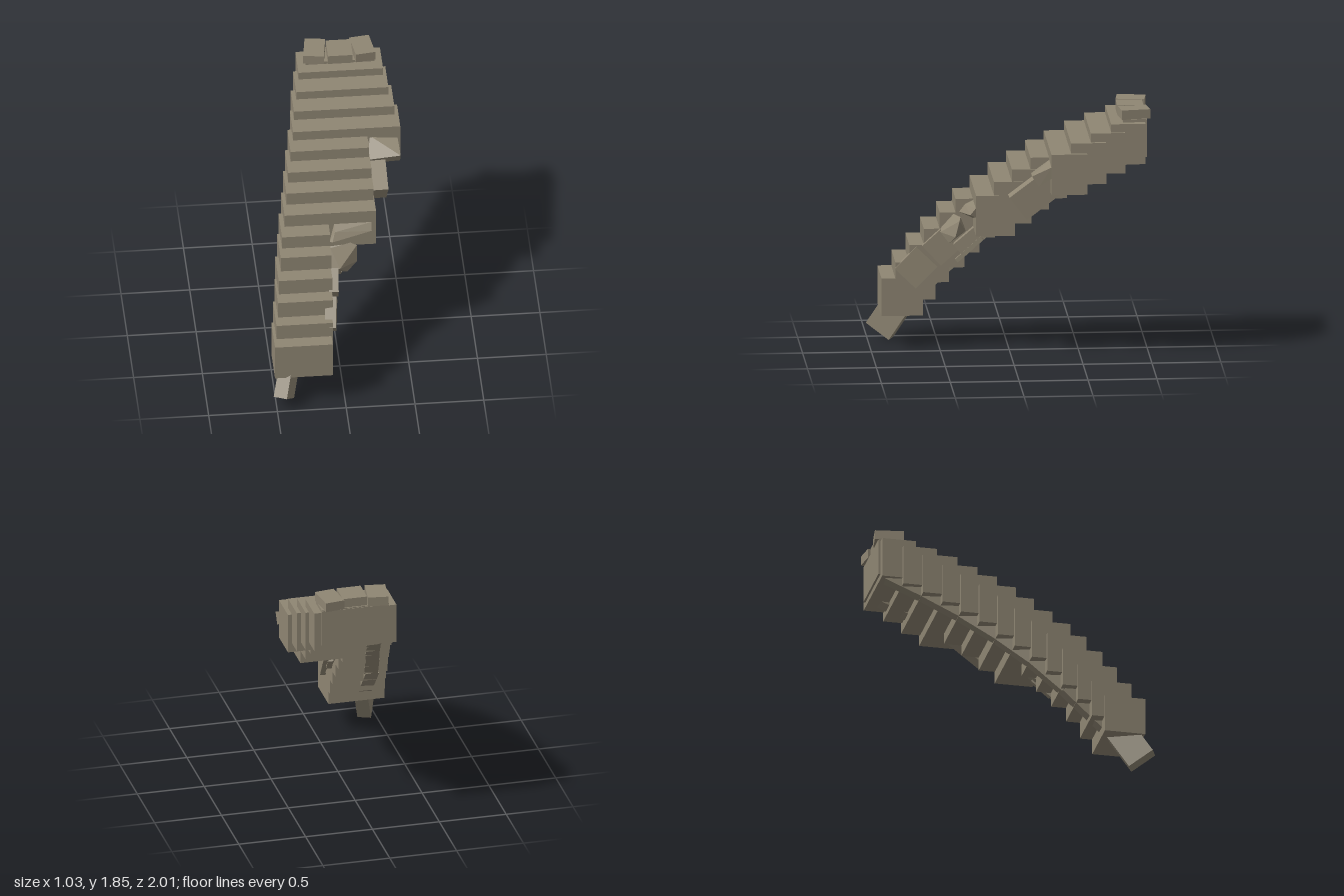
import * as THREE from 'three';
import { ConvexGeometry } from 'three/addons/geometries/ConvexGeometry.js';

export function createModel() {
  const model = new THREE.Group();
  model.name = 'brokenStaircase';
  const stone = new THREE.MeshStandardMaterial({ color: 0x8f8673, flatShading: true });
  stone.name = 'stone';

  const add = (name, geometry) => {
    const mesh = new THREE.Mesh(geometry, stone);
    mesh.name = name;
    model.add(mesh);
    return mesh;
  };
  // Box given by its limits on each axis
  const block = (name, x0, x1, y0, y1, z0, z1) =>
    add(name, new THREE.BoxGeometry(x1 - x0, y1 - y0, z1 - z0))
      .position.set((x0 + x1) / 2, (y0 + y1) / 2, (z0 + z1) / 2);
  // Sloping beam between two points
  const beam = (name, from, to, thick, deep) => {
    const a = new THREE.Vector3(...from), b = new THREE.Vector3(...to);
    const mesh = add(name, new THREE.BoxGeometry(thick, deep, a.distanceTo(b)));
    mesh.position.copy(a).add(b).multiplyScalar(0.5);
    mesh.lookAt(b);
  };
  const rubble = (name, points) =>
    add(name, new ConvexGeometry(points.map((p) => new THREE.Vector3(...p))));

  // Steps, from the foot up: left x, right x, bottom, top, back z, front z
  const steps = [
    [-0.51, -0.09, 0.24, 0.52, 0.62, 0.92],
    [-0.49, -0.08, 0.36, 0.64, 0.53, 0.82],
    [-0.47, -0.07, 0.49, 0.77, 0.43, 0.72],
    [-0.455, -0.065, 0.6, 0.89, 0.32, 0.615],
    [-0.43, -0.06, 0.71, 1.01, 0.21, 0.5],
    [-0.41, -0.06, 0.82, 1.11, 0.1, 0.385],
    [-0.38, 0.285, 0.91, 1.21, -0.02, 0.26],
    [-0.355, 0.28, 1.0, 1.31, -0.14, 0.13],
    [-0.33, 0.275, 1.1, 1.4, -0.27, 0],
    [-0.3, 0.27, 1.18, 1.485, -0.4, -0.135],
    [-0.27, 0.51, 1.26, 1.56, -0.53, -0.27],
    [-0.25, 0.48, 1.33, 1.635, -0.67, -0.415],
    [-0.22, 0.45, 1.4, 1.7, -0.81, -0.56],
    [-0.19, 0.425, 1.46, 1.76, -0.96, -0.71],
  ];
  steps.forEach((s) => block('step', ...s));

  // Left stringer with its exposed foot
  const left = [
    [-0.445, 0.055, 0.91], [-0.37, 0.35, 0.73], [-0.35, 0.66, 0.41],
    [-0.3, 0.89, 0.17], [-0.24, 1.09, -0.08], [-0.18, 1.27, -0.34],
    [-0.14, 1.42, -0.61], [-0.11, 1.55, -0.88],
  ];
  for (let i = 1; i < left.length; i++) beam('leftStringer', left[i - 1], left[i], 0.1, 0.21);

  // Right stringer: upper length and broken lower pieces
  beam('rightStringer', [0.34, 1.135, -0.035], [0.33, 1.37, -0.35], 0.11, 0.21);
  beam('rightStringer', [0.33, 1.37, -0.35], [0.3, 1.55, -0.86], 0.11, 0.18);
  beam('brokenStringer', [-0.09, 0.525, 0.745], [-0.07, 0.69, 0.59], 0.08, 0.21);
  beam('brokenStringer', [-0.05, 0.7, 0.56], [-0.04, 0.82, 0.43], 0.07, 0.2);
  beam('brokenStringer', [-0.02, 0.75, 0.37], [0, 0.9, 0.2], 0.08, 0.1);
  beam('splinter', [-0.03, 0.66, 0.38], [-0.01, 0.78, 0.25], 0.04, 0.03);
  beam('splinter', [0.01, 0.72, 0.33], [0.03, 0.84, 0.2], 0.04, 0.03);

  // Loose chunks on the broken side
  rubble('upperChunk', [
    [0.26, 1.37, -0.14], [0.5, 1.4, -0.13], [0.3, 1.31, -0.18], [0.5, 1.32, -0.18],
    [0.29, 1.48, -0.28], [0.49, 1.46, -0.27], [0.27, 1.38, -0.29], [0.49, 1.39, -0.29],
  ]);
  rubble('middleChunk', [
    [-0.02, 1.11, 0.26], [0.25, 1.11, 0.26], [-0.04, 1.02, 0.36], [0.25, 1.06, 0.3],
    [-0.06, 1.01, 0.34], [-0.02, 1.08, 0.32], [0.24, 1.04, 0.26], [-0.05, 0.97, 0.26],
  ]);
  rubble('lowerChunk', [
    [-0.06, 1.0, 0.4], [0.09, 1.01, 0.36], [0.135, 0.99, 0.37], [0.135, 0.87, 0.4],
    [0.06, 0.81, 0.44], [-0.06, 0.83, 0.46], [-0.07, 0.89, 0.5], [0, 0.88, 0.5],
    [-0.06, 0.9, 0.32], [0.06, 0.9, 0.32],
  ]);

  // Landing: back panel, thin bed and three cap stones
  block('backPanel', -0.13, 0.37, 1.5, 1.775, -0.975, -0.95);
  block('capBed', -0.13, 0.37, 1.755, 1.782, -0.97, -0.8);
  const caps = [[-0.06, -0.885, -0.14, 0.15, 0.21], [0.12, -0.865, 0, 0.18, 0.19],
    [0.29, -0.885, 0.14, 0.145, 0.21]];
  for (const [x, z, turn, w, d] of caps) {
    const cap = add('capStone', new THREE.BoxGeometry(w, 0.07, d));
    cap.position.set(x, 1.815, z);
    cap.rotation.y = turn;
  }
  return model;
}
